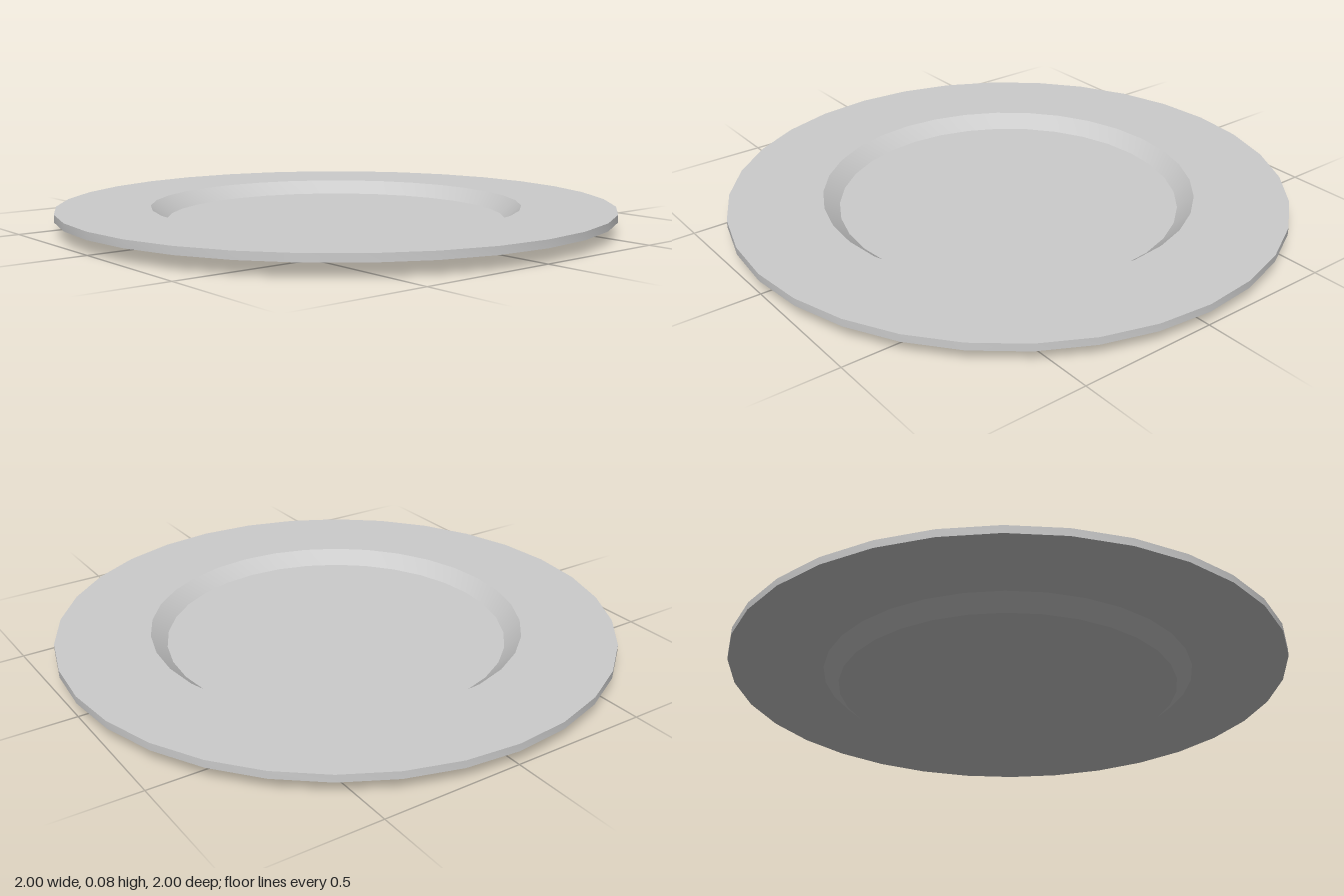
import * as THREE from 'three';
import { toCreasedNormals } from 'three/addons/utils/BufferGeometryUtils.js';

export function createModel() {
  const group = new THREE.Group();
  group.name = 'plate';

  const segments = 32;
  const thickness = 0.027;
  const rimBottom = 0.048;
  const floorRadius = 0.61;
  const wellRadius = 0.666;
  const rimRadius = 1;

  // Underside from centre to rim, then the top side back to the centre
  const underside = [[0, 0], [floorRadius, 0], [wellRadius, rimBottom], [rimRadius, rimBottom]];
  const topSide = underside.map(([r, y]) => [r, y + thickness]).reverse();
  const profile = [...underside, ...topSide].map(([r, y]) => new THREE.Vector2(r, y));

  // Smooth around the circle, sharp at the profile corners
  const dish = new THREE.Mesh(
    toCreasedNormals(new THREE.LatheGeometry(profile, segments), 0.5),
    new THREE.MeshStandardMaterial({ color: 0xcccccc })
  );
  dish.name = 'dish';
  group.add(dish);

  return group;
}
